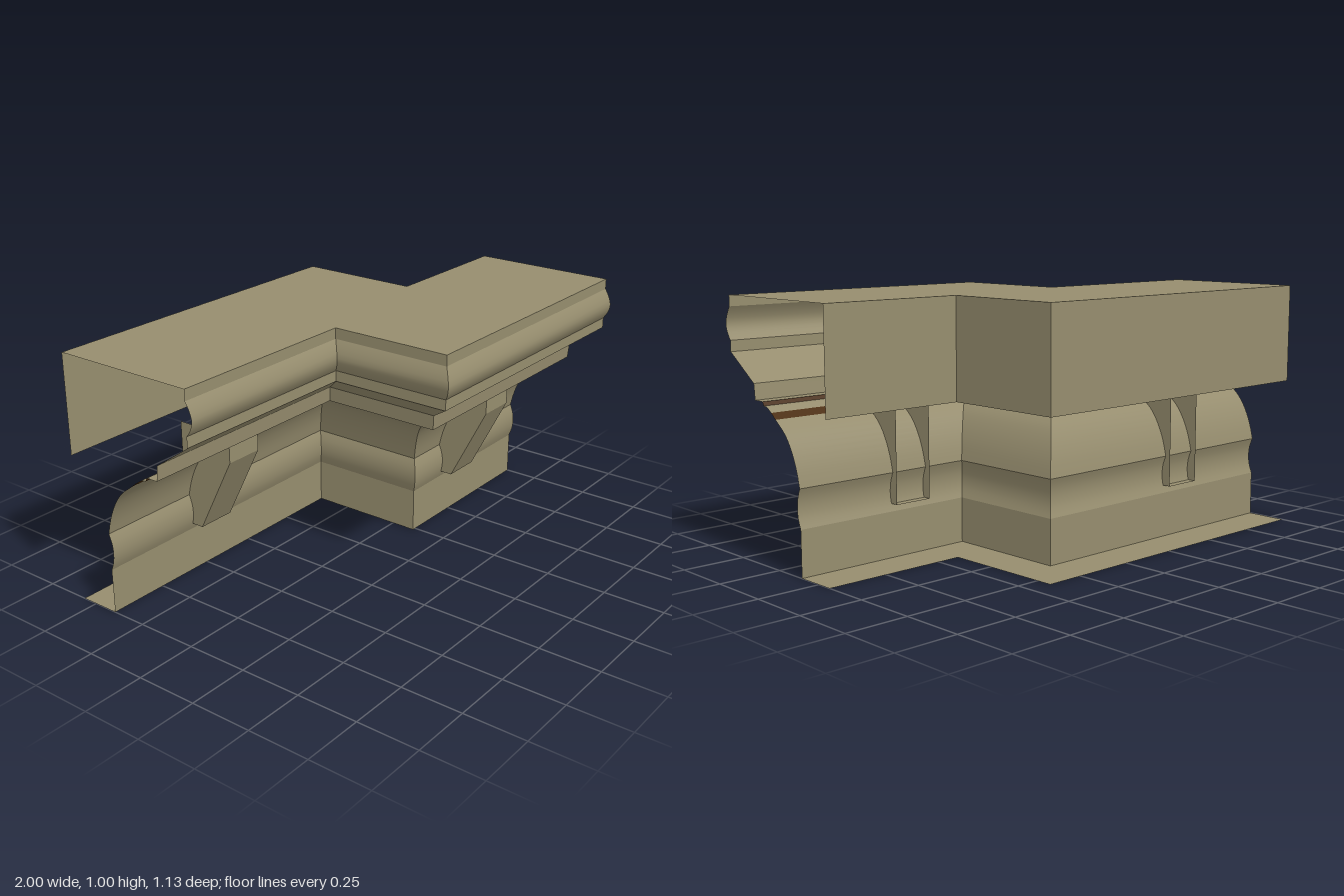
import * as THREE from 'three';
import { mergeGeometries } from 'three/addons/utils/BufferGeometryUtils.js';

const STEP = 0.5;    // how far the right-hand run stands forward of the other
const MITRE = 0.34;  // x of the return = MITRE - profile depth

const stone = new THREE.MeshStandardMaterial({ color: 0x968d6e, side: THREE.DoubleSide });
stone.name = 'olive stone';
const brown = new THREE.MeshStandardMaterial({ color: 0x4a2c0a, side: THREE.DoubleSide });
brown.name = 'dark brown';

// Plan path followed by a profile point of depth d
const plan = d => [[-1, d - STEP], [MITRE - d, d - STEP], [MITRE - d, d], [1, d]];

// Sweeps a run of profile points [depth, height] along the mitred path;
// smooth within the run, sharp at its ends and at the mitres
function moulding(name, points, material) {
  const legs = [0, 1, 2].map(leg => {
    const pos = [], index = [];
    points.forEach(([d, y], j) => {
      const p = plan(d);
      for (const [x, z] of [p[leg], p[leg + 1]]) pos.push(x, y, z);
      if (j) {
        const a = 2 * j - 2;
        index.push(a, a + 2, a + 1, a + 1, a + 2, a + 3);
      }
    });
    const g = new THREE.BufferGeometry();
    g.setAttribute('position', new THREE.Float32BufferAttribute(pos, 3));
    g.setIndex(index);
    g.computeVertexNormals();
    return g;
  });
  const mesh = new THREE.Mesh(mergeGeometries(legs), material);
  mesh.name = name;
  return mesh;
}

// Smooth curve through a few profile points
const curve = (pts, n) => new THREE.SplineCurve(pts.map(p => new THREE.Vector2(...p)))
  .getPoints(n).map(p => [p.x, p.y]);

// Hollow bracket: two cheeks, a folded front and a base, open behind and above
function bracket(x, zOffset) {
  const group = new THREE.Group();
  group.name = 'bracket';
  const outline = [[0.33, 0.635], [0.33, 0.525], [0.168, 0.208], [0.082, 0.208]];
  const w = 0.08;

  const shape = new THREE.Shape([[0.082, 0.635], ...outline].map(p => new THREE.Vector2(...p)));
  for (const side of [-1, 1]) {
    const cheek = new THREE.Mesh(new THREE.ShapeGeometry(shape), stone);
    cheek.geometry.rotateY(-Math.PI / 2);
    // after the turn the face looks to -x; turn the +x cheek's winding round
    if (side > 0) {
      const ix = cheek.geometry.index.array;
      for (let i = 0; i < ix.length; i += 3) [ix[i], ix[i + 1]] = [ix[i + 1], ix[i]];
    }
    cheek.geometry.computeVertexNormals();
    cheek.position.x = side * w;
    cheek.name = 'bracketCheek';
    group.add(cheek);
  }

  const pos = [];
  for (let i = 0; i < outline.length - 1; i++) {
    const [z0, y0] = outline[i], [z1, y1] = outline[i + 1];
    pos.push(-w, y0, z0, -w, y1, z1, w, y0, z0, w, y0, z0, -w, y1, z1, w, y1, z1);
  }
  const g = new THREE.BufferGeometry();
  g.setAttribute('position', new THREE.Float32BufferAttribute(pos, 3));
  g.computeVertexNormals();
  const face = new THREE.Mesh(g, stone);
  face.name = 'bracketFace';
  group.add(face);

  group.position.set(x, 0, zOffset);
  return group;
}

export function createModel() {
  const model = new THREE.Group();
  model.name = 'cornice';

  const bead = curve([[0.537, 0.957], [0.553, 0.93], [0.565, 0.893], [0.556, 0.858], [0.537, 0.83]], 8);
  const cove = curve([[0.248, 0.563], [0.19, 0.517], [0.15, 0.46], [0.122, 0.395], [0.105, 0.33]], 12);
  const lowerBead = curve([[0.105, 0.33], [0.118, 0.295], [0.123, 0.255], [0.118, 0.215], [0.105, 0.18]], 8);

  const runs = [
    ['backWall', [[-0.065, 0.6], [-0.065, 1]]],
    ['top', [[-0.065, 1], [0.537, 1]]],
    ['topFillet', [[0.537, 1], [0.537, 0.957]]],
    ['crownBead', bead],
    ['crownFillet', [[0.537, 0.83], [0.537, 0.787]]],
    ['crownSlope', [[0.537, 0.787], [0.385, 0.682]]],
    ['dripEdge', [[0.385, 0.682], [0.379, 0.62]]],
    ['soffit', [[0.379, 0.62], [0.33, 0.62]]],
    ['upperShadowLine', [[0.33, 0.62], [0.322, 0.605]], brown],
    ['soffitStep', [[0.322, 0.605], [0.3, 0.602], [0.275, 0.585]]],
    ['lowerShadowLine', [[0.275, 0.585], [0.248, 0.563]], brown],
    ['cove', cove],
    ['lowerBead', lowerBead],
    ['plinth', [[0.105, 0.18], [0.105, 0]]],
    ['baseFlange', [[0.105, 0], [-0.065, 0]]],
  ];
  for (const [name, points, material = stone] of runs) model.add(moulding(name, points, material));

  // One bracket under each run
  model.add(bracket(-0.5, -STEP), bracket(0.5, 0));
  return model;
}
